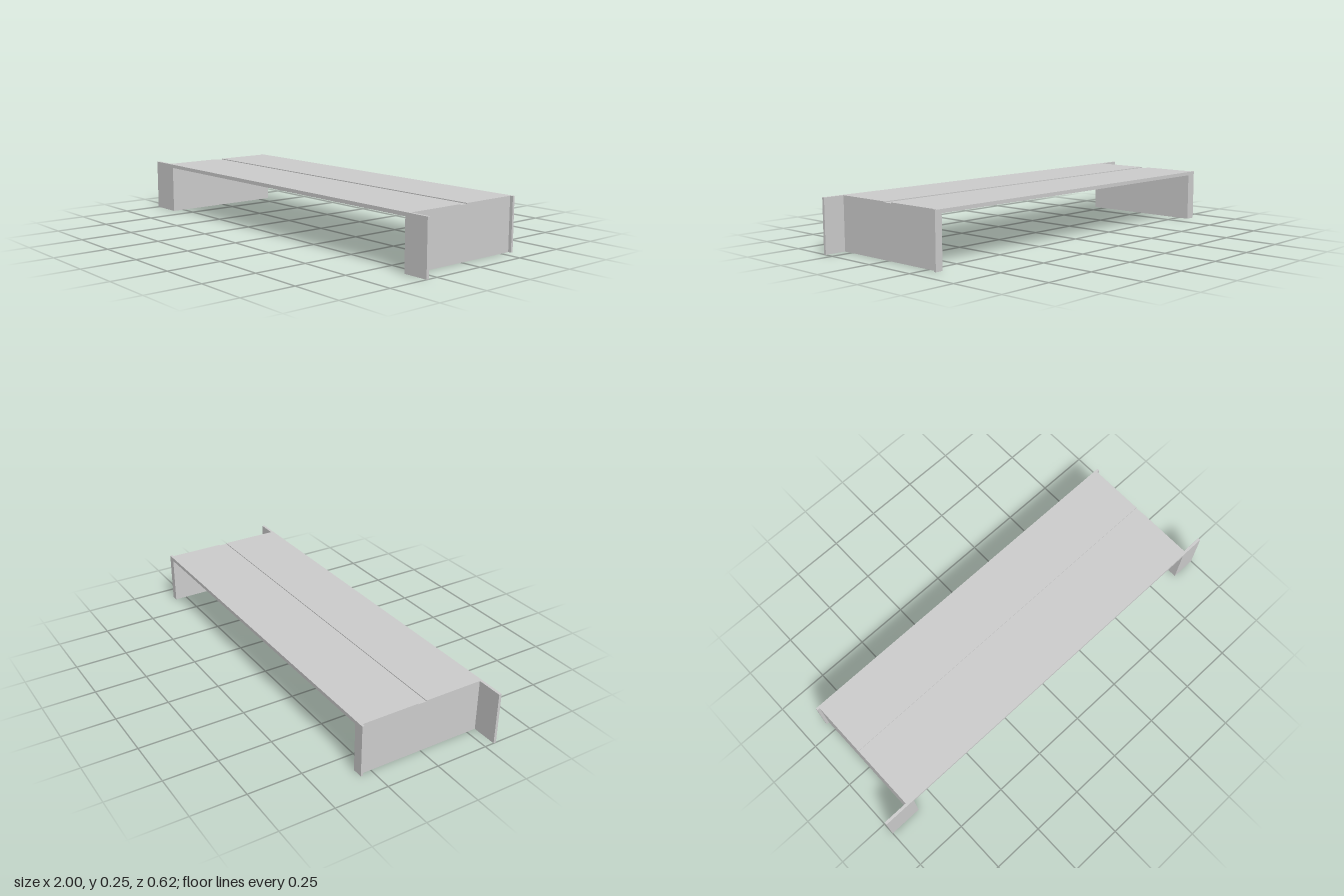
import * as THREE from 'three';

const HEIGHT = 0.246, UNDER = 0.229, DEPTH = 0.308;
const LEFT = 0.9, RIGHT = -0.878; // outer faces of the side walls

export function createModel() {
  const group = new THREE.Group();
  const material = new THREE.MeshStandardMaterial({ color: 0xcccccc, flatShading: true });

  const add = (name, geometry) => {
    const mesh = new THREE.Mesh(geometry, material);
    mesh.name = name;
    group.add(mesh);
    return mesh;
  };

  // Box given by its limits on each axis
  const addBox = (name, x0, x1, y0, y1, z0, z1) =>
    add(name, new THREE.BoxGeometry(x1 - x0, y1 - y0, z1 - z0))
      .position.set((x0 + x1) / 2, (y0 + y1) / 2, (z0 + z1) / 2);

  // Top panel: grooved section (drawn as -z, y) extruded along x
  const grooveY = HEIGHT - 0.004;
  const section = new THREE.Shape([
    [-DEPTH, UNDER], [DEPTH, UNDER], [DEPTH, HEIGHT], [0.025, HEIGHT],
    [0.025, grooveY], [-0.016, grooveY], [-0.016, HEIGHT], [-DEPTH, HEIGHT],
  ].map(([x, y]) => new THREE.Vector2(x, y)));
  const panel = new THREE.ExtrudeGeometry(section, { depth: LEFT - RIGHT, bevelEnabled: false });
  panel.rotateY(Math.PI / 2).translate(RIGHT, 0, 0);
  add('topPanel', panel);

  // Side walls under the panel
  addBox('leftWall', 0.88, LEFT, 0, UNDER, -DEPTH, DEPTH);
  addBox('rightWall', RIGHT, -0.842, 0, UNDER, -DEPTH, DEPTH);

  // Wide flanges at the front, narrow lips at the back
  addBox('leftFrontFlange', LEFT, 1, 0, HEIGHT, 0.295, DEPTH);
  addBox('rightFrontFlange', -1, RIGHT, 0, HEIGHT, 0.295, DEPTH);
  addBox('leftBackLip', LEFT, 0.915, 0, HEIGHT, -DEPTH, -0.297);
  addBox('rightBackLip', -0.892, RIGHT, 0, HEIGHT, -DEPTH, -0.297);

  return group;
}
